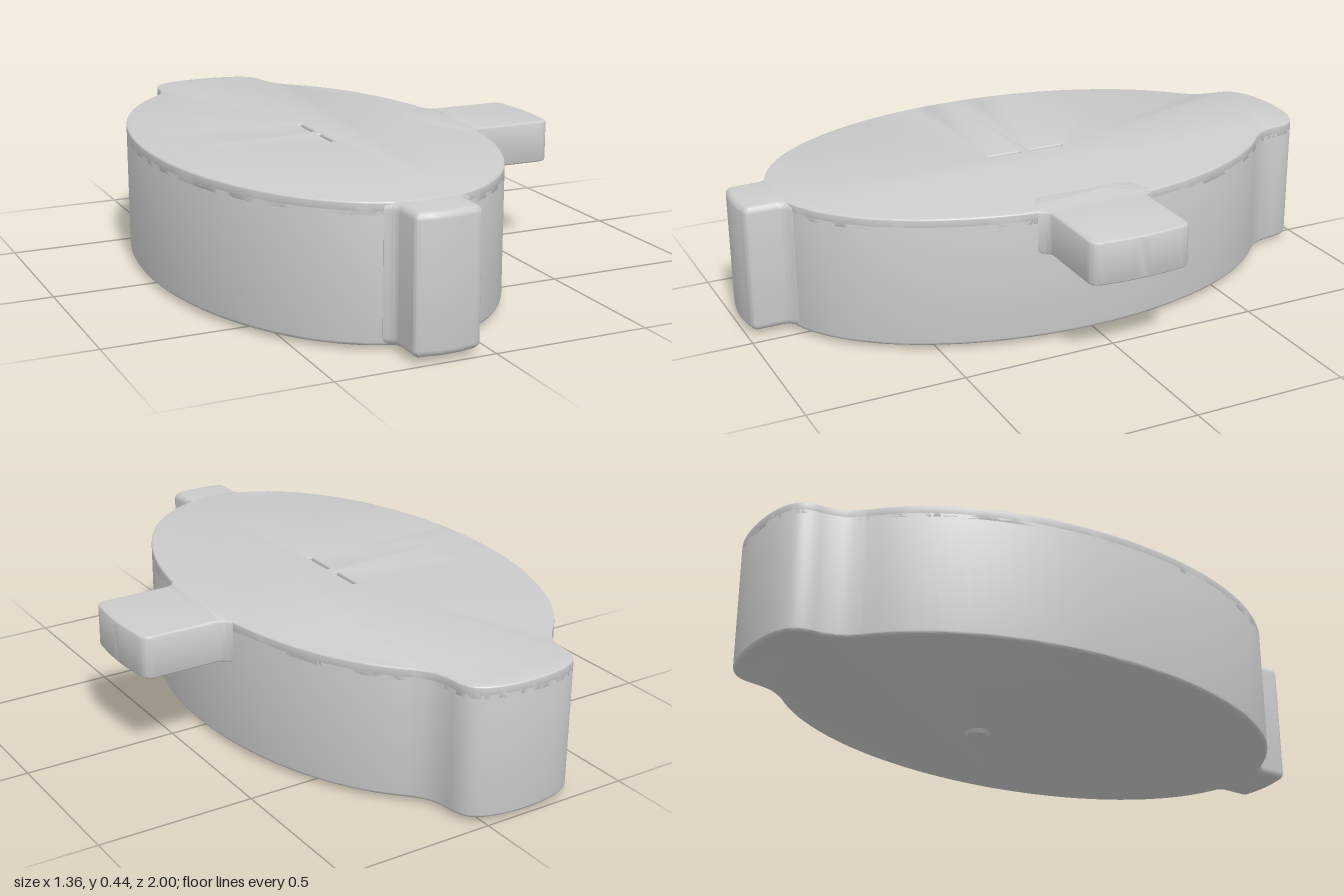
import * as THREE from 'three';
import { toCreasedNormals } from 'three/addons/utils/BufferGeometryUtils.js';

const CX = -0.145; // centre line of the oval body
const RX = 0.54, RZ = 0.87;
const material = new THREE.MeshStandardMaterial({ color: 0xcccccc });

// Upright slab from a plan outline (shape y = -z), with rounded rims
function slab(name, shape, y0, y1, bevel) {
  const geometry = new THREE.ExtrudeGeometry(shape, {
    depth: y1 - y0 - 2 * bevel, bevelEnabled: true, bevelThickness: bevel,
    bevelSize: bevel, bevelOffset: -bevel, bevelSegments: 4, curveSegments: 12,
  });
  geometry.rotateX(-Math.PI / 2).translate(0, y0 + bevel, 0);
  const mesh = new THREE.Mesh(toCreasedNormals(geometry, 0.6), material);
  mesh.name = name;
  return mesh;
}

// Oval with a rounded lobe blended into its back end
function bodyOutline() {
  const points = [];
  const start = Math.PI / 2 + 0.5, end = Math.PI * 2.5 - 0.5;
  for (let i = 0; i <= 96; i++) {
    const a = start + (end - start) * i / 96;
    points.push(new THREE.Vector2(CX + RX * Math.cos(a), RZ * Math.sin(a)));
  }
  const half = [[0.224, 0.81], [0.208, 0.86], [0.2, 0.915], [0.178, 0.955], [0.13, 0.982], [0.065, 0.996]];
  const lobe = [
    [0.259, 0.763], ...half, [0, 1],
    ...half.slice().reverse().map(([x, y]) => [-x, y]), [-0.259, 0.763],
  ].map(([x, y]) => new THREE.Vector2(CX + x, y));
  points.push(...new THREE.SplineCurve(lobe).getPoints(64).slice(1, -1));
  return new THREE.Shape(points);
}

// Rounded tab pointing along +x, flaring into the body at its root
function tabOutline(root, neck, tip, halfWidth, flare, corner) {
  const s = new THREE.Shape();
  s.moveTo(root, -halfWidth - flare);
  s.quadraticCurveTo((root + neck) / 2, -halfWidth, neck, -halfWidth);
  s.lineTo(tip - corner, -halfWidth);
  s.quadraticCurveTo(tip - 0.01, -halfWidth, tip - 0.008, -halfWidth + corner);
  s.quadraticCurveTo(tip + 0.008, 0, tip - 0.008, halfWidth - corner);
  s.quadraticCurveTo(tip - 0.01, halfWidth, tip - corner, halfWidth);
  s.lineTo(neck, halfWidth);
  s.quadraticCurveTo((root + neck) / 2, halfWidth, root, halfWidth + flare);
  s.lineTo(root - 0.1, halfWidth);
  s.lineTo(root - 0.1, -halfWidth);
  s.closePath();
  return s;
}

export function createModel() {
  const group = new THREE.Group();
  group.name = 'ovalCase';

  // Main body
  group.add(slab('body', bodyOutline(), 0.012, 0.42, 0.012));

  // Top cover with two narrow slots
  const cover = bodyOutline();
  for (const y of [-0.135, 0.02]) {
    const slot = new THREE.Path();
    slot.moveTo(-0.117, y);
    slot.lineTo(-0.117, y + 0.115);
    slot.lineTo(-0.103, y + 0.115);
    slot.lineTo(-0.103, y);
    slot.closePath();
    cover.holes.push(slot);
  }
  group.add(slab('topCover', cover, 0.39, 0.435, 0.006));

  // Shallow tab on the left side
  group.add(slab('sideTab', tabOutline(0.37, 0.42, 0.68, 0.168, 0.05, 0.045), 0.295, 0.435, 0.01));

  // Tall tab on the front end
  const front = slab('frontTab', tabOutline(0.845, 0.885, 0.995, 0.105, 0.03, 0.03), 0.015, 0.434, 0.022);
  front.rotation.y = -Math.PI / 2;
  front.position.x = CX;
  group.add(front);

  // Small foot underneath
  const foot = new THREE.Mesh(new THREE.CylinderGeometry(0.048, 0.034, 0.02, 16), material);
  foot.name = 'foot';
  foot.position.set(-0.005, 0.01, -0.12);
  group.add(foot);

  return group;
}
